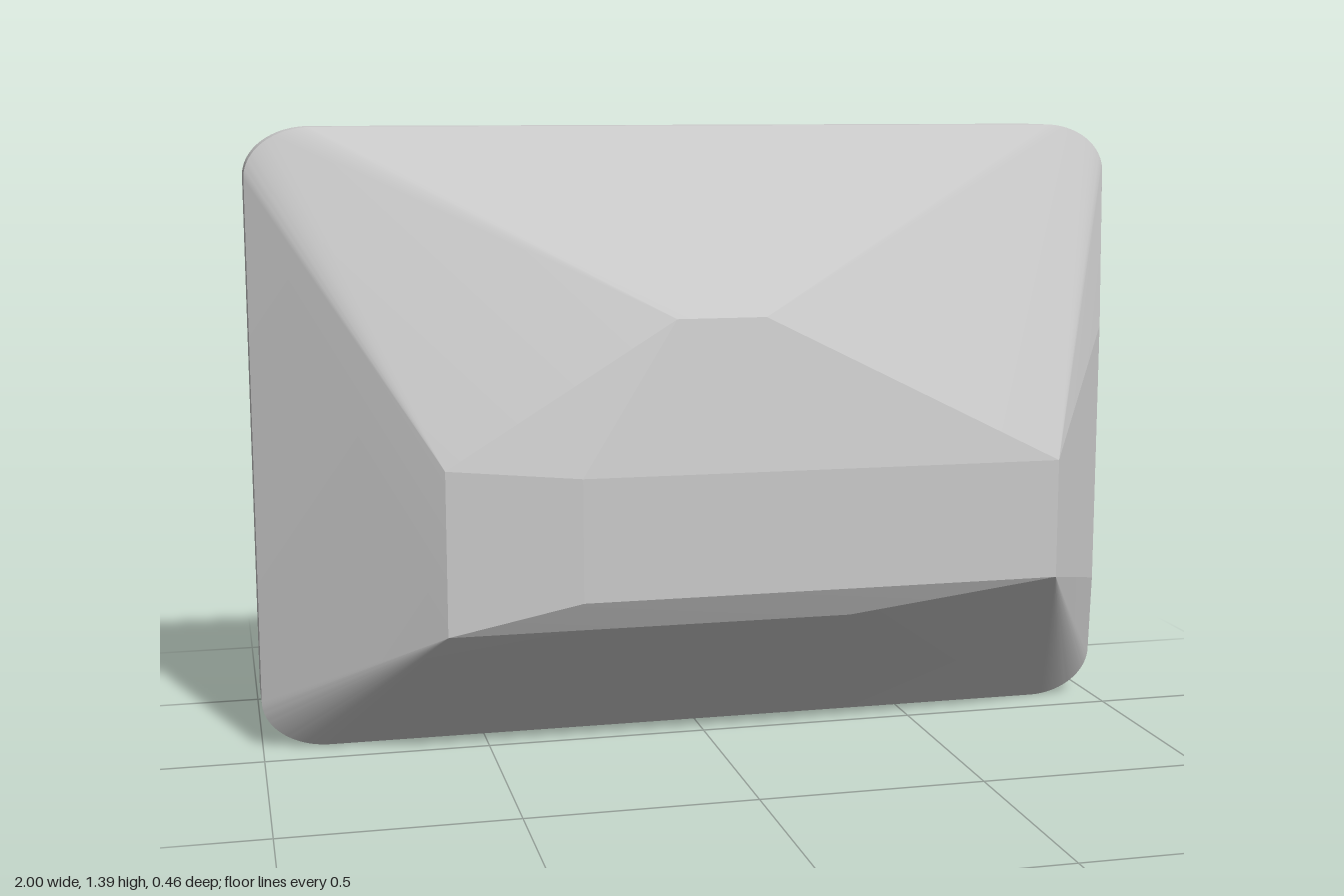
import * as THREE from 'three';
import { toCreasedNormals } from 'three/addons/utils/BufferGeometryUtils.js';
import { ConvexGeometry } from 'three/addons/geometries/ConvexGeometry.js';

const HEIGHT = 1.39, BACK = -0.23, RIM = -0.095;
const CORNER_X = 0.15, CORNER_Y = 0.11, STEPS = 24;

// Rounded rectangle outline at depth z
function outline(z) {
  const points = [];
  for (let corner = 0; corner < 4; corner++) {
    const sx = corner === 0 || corner === 3 ? 1 : -1;
    const sy = corner < 2 ? 1 : -1;
    for (let i = 0; i <= STEPS; i++) {
      const a = (corner + i / STEPS) * Math.PI / 2;
      points.push(new THREE.Vector3(
        sx * (1 - CORNER_X) + CORNER_X * Math.cos(a),
        HEIGHT / 2 + sy * (HEIGHT / 2 - CORNER_Y) + CORNER_Y * Math.sin(a),
        z));
    }
  }
  return points;
}

export function createModel() {
  const group = new THREE.Group();
  group.name = 'facetedPanel';

  // Corners of the cut facets on the front
  const facets = [
    [-0.61, 0.67, 0.193], [-0.61, 0.307, 0.193],                        // left ridge
    [-0.32, 0.648, 0.23], [0.77, 0.645, 0.23], [0.77, 0.375, 0.23], [-0.32, 0.375, 0.23], // flat front
    [0.29, 0.307, 0.197],                                               // lower break
    [-0.1, 0.98, 0.175], [0.1, 0.98, 0.175],                            // upper break
    [0.965, 0.92, -0.005], [0.965, 0.31, -0.005],                       // right break
  ].map((p) => new THREE.Vector3(...p));

  // Slab and faceted front form one convex solid
  const hull = new ConvexGeometry([...outline(BACK), ...outline(RIM), ...facets]);
  const body = new THREE.Mesh(
    toCreasedNormals(hull, 0.1),
    new THREE.MeshStandardMaterial({ color: 0xcccccc }));
  body.name = 'facetedBody';
  group.add(body);
  return group;
}
